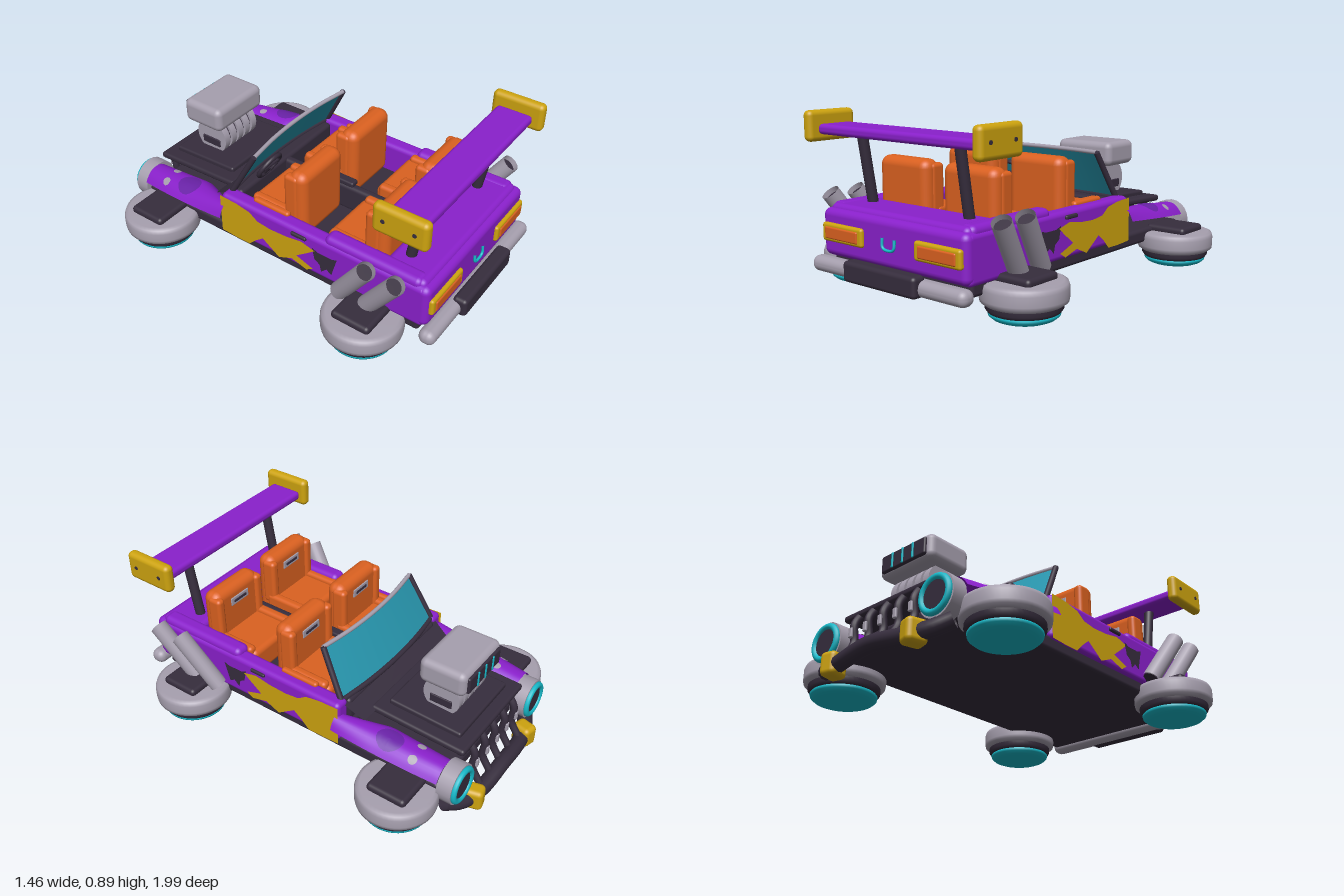
import * as THREE from 'three';
import { RoundedBoxGeometry } from 'three/addons/geometries/RoundedBoxGeometry.js';

const mat = (name, color, side = THREE.FrontSide) => {
  const m = new THREE.MeshStandardMaterial({ color, side });
  m.name = name;
  return m;
};

export function createModel() {
  const purple = mat('purple paint', 0x8a20cc);
  const violet = mat('violet patch', 0x6a22a8, THREE.DoubleSide);
  const yellow = mat('yellow', 0xcda30f, THREE.DoubleSide);
  const orange = mat('orange upholstery', 0xdb6120);
  const grey = mat('grey metal', 0xa69fae, THREE.DoubleSide);
  const dark = mat('dark plastic', 0x362d3d, THREE.DoubleSide);
  const cyan = mat('cyan glow', 0x16b9c9);
  const glass = mat('teal glass', 0x2898b0, THREE.DoubleSide);

  const car = new THREE.Group();
  car.name = 'hoverCar';
  const add = (name, geo, m, parent = car) => {
    const mesh = new THREE.Mesh(geo, m);
    mesh.name = name;
    parent.add(mesh);
    return mesh;
  };
  // Rounded box given by its extents on each axis
  const box = (name, m, x0, x1, y0, y1, z0, z1, r = 0.02, parent = car) => {
    const s = [x1 - x0, y1 - y0, z1 - z0];
    const mesh = add(name, new RoundedBoxGeometry(...s, 3, Math.min(r, Math.min(...s) * 0.49)), m, parent);
    mesh.position.set((x0 + x1) / 2, (y0 + y1) / 2, (z0 + z1) / 2);
    return mesh;
  };
  // The same box on both sides of the car
  const pair = (name, m, x0, x1, ...rest) => {
    box(name + 'Left', m, x0, x1, ...rest);
    box(name + 'Right', m, -x1, -x0, ...rest);
  };
  // Straight rod between two points
  const rod = (name, m, a, b, r, open = false) => {
    const p = new THREE.Vector3(...a), q = new THREE.Vector3(...b), d = q.clone().sub(p);
    const mesh = add(name, new THREE.CylinderGeometry(r, r, d.length(), 20, 1, open), m);
    mesh.position.copy(p).add(q).multiplyScalar(0.5);
    mesh.quaternion.setFromUnitVectors(new THREE.Vector3(0, 1, 0), d.normalize());
    return mesh;
  };
  const tube = (name, m, pts, r) =>
    add(name, new THREE.TubeGeometry(new THREE.CatmullRomCurve3(pts.map(p => new THREE.Vector3(...p))), 32, r, 12), m);
  const lathe = (name, m, pts, parent) =>
    add(name, new THREE.LatheGeometry(pts.map(p => new THREE.Vector2(...p)), 48), m, parent);
  // Grid surface from a function of u and v
  const sheet = (name, m, nu, nv, fn) => {
    const g = new THREE.PlaneGeometry(1, 1, nu, nv), p = g.attributes.position;
    for (let i = 0; i < p.count; i++) p.setXYZ(i, ...fn(p.getX(i) + 0.5, p.getY(i) + 0.5));
    g.computeVertexNormals();
    return add(name, g, m);
  };

  // Chassis and body shell
  box('chassis', dark, -0.45, 0.45, 0.16, 0.235, -0.84, 0.87, 0.02);
  box('floor', dark, -0.4, 0.4, 0.22, 0.28, -0.3, 0.68);
  pair('sideWall', purple, 0.385, 0.47, 0.215, 0.445, -0.29, 0.9, 0.025);
  pair('rearRail', purple, 0.37, 0.46, 0.38, 0.475, 0.34, 0.87, 0.03);
  box('rearBody', purple, -0.47, 0.47, 0.22, 0.45, 0.65, 0.92, 0.035);
  box('rearDeck', purple, -0.45, 0.45, 0.4, 0.47, 0.65, 0.89, 0.03);
  pair('doorHandle', dark, 0.46, 0.482, 0.405, 0.425, 0.16, 0.25, 0.008);
  box('console', dark, -0.025, 0.025, 0.27, 0.42, -0.28, 0.6);
  box('brakeLever', dark, -0.025, 0.025, 0.42, 0.45, 0.03, 0.21, 0.01);

  // Painted side splashes as thin plates
  const splash = new THREE.Shape([
    [0.3, 0.37], [0.22, 0.39], [0.13, 0.375], [0.03, 0.37], [-0.05, 0.38], [-0.1, 0.415], [-0.18, 0.43],
    [-0.29, 0.435], [-0.29, 0.21], [-0.2, 0.205], [-0.11, 0.205], [-0.065, 0.25], [-0.02, 0.285],
    [0.03, 0.25], [0.08, 0.215], [0.16, 0.25], [0.25, 0.225], [0.29, 0.25], [0.19, 0.285], [0.25, 0.33],
  ].map(p => new THREE.Vector2(...p)));
  const blot = new THREE.Shape([
    [0.43, 0.38], [0.4, 0.37], [0.32, 0.37], [0.285, 0.385], [0.3, 0.32], [0.33, 0.3], [0.34, 0.26],
    [0.37, 0.29], [0.4, 0.27], [0.41, 0.31],
  ].map(p => new THREE.Vector2(...p)));
  for (const s of [1, -1]) {
    for (const [name, shape, m] of [['sideSplash', splash, yellow], ['sideBlot', blot, dark]])
      add(name, new THREE.ShapeGeometry(shape).rotateY(-Math.PI / 2), m).position.x = s * 0.474;
  }

  // Front fenders: arched sheets sloping down to the lamps
  const fenderPoint = (s, u, v) => {
    const inner = 0.4 - 0.1 * Math.min(1, v * 2.4), outer = 0.51 - 0.04 * v * v;
    const arch = Math.pow(Math.abs(2 * u - 1), 2.5);
    return [s * (inner + (outer - inner) * u), 0.378 - 0.055 * v - 0.06 * arch, -0.27 - 0.57 * v];
  };
  const fenderPaint = mat('purple paint', 0x8a20cc, THREE.DoubleSide);
  purple.side = THREE.DoubleSide;
  fenderPaint.dispose();
  for (const s of [1, -1]) {
    sheet('fender', purple, 14, 20, (u, v) => fenderPoint(s, u, v));
    const patch = (name, m, u0, v0, ru, rv) => sheet(name, m, 16, 4, (a, r) => {
      const p = fenderPoint(s, u0 + ru * r * Math.cos(a * 2 * Math.PI), v0 + rv * r * Math.sin(a * 2 * Math.PI));
      p[1] += 0.005;
      return p;
    });
    patch('fenderPatch', violet, 0.6, 0.5, 0.3, 0.12);
    patch('fenderChip', grey, 0.35, 0.75, 0.1, 0.04);
    patch('fenderChip', grey, 0.8, 0.75, 0.1, 0.04);
  }

  // Hood, raised panel and cowl
  const hood = box('hood', dark, -0.3, 0.3, 0.325, 0.36, -0.88, -0.36, 0.015);
  hood.rotation.x = -0.04;
  const panel = box('hoodPanel', dark, -0.23, 0.23, 0.35, 0.385, -0.82, -0.42, 0.012);
  panel.rotation.x = -0.04;
  sheet('cowl', dark, 8, 3, (u, v) => [(u - 0.5) * (0.84 - 0.05 * v), 0.43 - 0.075 * v, -0.27 - 0.12 * v]);
  box('dashboard', dark, -0.39, 0.39, 0.3, 0.43, -0.3, -0.22, 0.02);

  // Engine with ribs and air scoop
  for (let i = 0; i < 5; i++) {
    const rib = add('engineRib', new THREE.CylinderGeometry(0.1, 0.1, 0.038, 28).rotateZ(Math.PI / 2), grey);
    rib.position.set(-0.11 + i * 0.055, 0.455, -0.65);
  }
  add('engineCore', new THREE.CylinderGeometry(0.085, 0.085, 0.25, 24).rotateZ(Math.PI / 2), dark).position.set(0, 0.455, -0.65);
  pair('engineSlot', dark, 0.125, 0.136, 0.405, 0.45, -0.71, -0.59, 0.01);
  box('airScoop', grey, -0.18, 0.18, 0.535, 0.67, -0.79, -0.54, 0.035);
  box('scoopIntake', dark, -0.15, 0.15, 0.555, 0.645, -0.802, -0.77, 0.01);
  for (const x of [-0.07, 0, 0.07]) box('intakeStripe', cyan, x - 0.006, x + 0.006, 0.56, 0.64, -0.807, -0.799, 0.003);

  // Curved windscreen: u across, v upward
  const screen = (u, v, lift = 0) => {
    const x = (u - 0.5) * 2;
    return [x * (0.41 - 0.035 * v), 0.43 + 0.245 * v, -0.3 + 0.13 * v + 0.035 * x * x + lift];
  };
  sheet('windscreen', glass, 20, 4, (u, v) => screen(u, v));
  const edge = (v) => [0, 0.25, 0.5, 0.75, 1].map(u => screen(u, v));
  tube('windscreenTopTrim', grey, edge(1), 0.011);
  tube('windscreenBottomTrim', dark, edge(0), 0.014);
  for (const u of [0, 1]) rod('windscreenPillar', dark, screen(u, 0), screen(u, 1), 0.015);

  // Steering wheel
  const wheel = add('steeringWheel', new THREE.TorusGeometry(0.075, 0.012, 10, 28), dark);
  wheel.position.set(-0.21, 0.51, -0.18);
  wheel.rotation.x = 0.5;
  rod('steeringColumn', dark, [-0.21, 0.51, -0.18], [-0.21, 0.42, -0.25], 0.018);
  rod('steeringSpoke', dark, [-0.28, 0.51, -0.18], [-0.14, 0.51, -0.18], 0.01);

  // Four seats
  for (const z of [0, 0.47]) for (const s of [1, -1]) {
    const seat = new THREE.Group();
    seat.name = 'seat';
    seat.position.set(s * 0.215, 0, z);
    car.add(seat);
    box('cushion', orange, -0.165, 0.165, 0.28, 0.43, -0.17, 0.14, 0.03, seat);
    const back = box('backrest', orange, -0.165, 0.165, 0.3, 0.68, 0.065, 0.17, 0.045, seat);
    back.scale.z = 1.02;
    for (const e of [1, -1]) {
      box('cushionBolster', orange, e * 0.15 - 0.025, e * 0.15 + 0.025, 0.3, 0.455, -0.15, 0.1, 0.02, seat);
      box('backBolster', orange, e * 0.145 - 0.025, e * 0.145 + 0.025, 0.4, 0.66, 0.048, 0.13, 0.02, seat);
    }
    box('headrestPlate', grey, -0.065, 0.065, 0.575, 0.62, 0.058, 0.067, 0.004, seat);
    box('headrestSlot', dark, -0.045, 0.045, 0.59, 0.605, 0.054, 0.06, 0.003, seat);
  }
  pair('armrest', orange, 0.385, 0.42, 0.41, 0.462, -0.12, 0.1, 0.015);

  // Hover pads in place of wheels
  for (const z of [0.62, -0.67]) for (const s of [1, -1]) {
    const pad = new THREE.Group();
    pad.name = 'hoverPad';
    pad.position.set(s * 0.53, 0, z);
    car.add(pad);
    lathe('padRim', grey, [[0, 0.11], [0.18, 0.11], [0.197, 0.122], [0.2, 0.14], [0.2, 0.185], [0.193, 0.205], [0.175, 0.213], [0, 0.213]], pad);
    lathe('padSkirt', dark, [[0, 0.075], [0.165, 0.075], [0.175, 0.09], [0.175, 0.115]], pad);
    lathe('padGlow', cyan, [[0, 0.022], [0.07, 0.026], [0.125, 0.037], [0.135, 0.045], [0.145, 0.045], [0.16, 0.058], [0.163, 0.07], [0.155, 0.08], [0, 0.08]], pad);
    box('padCover', dark, -0.12, 0.11, 0.2, 0.245, -0.105, 0.105, 0.02, pad);
  }

  // Twin side exhausts
  for (const s of [1, -1]) for (const z of [0, 0.155]) {
    const a = [s * 0.5, 0.23, 0.465 + z], b = [s * 0.555, 0.495, 0.645 + z];
    rod('exhaustPipe', grey, a, b, 0.046, true);
    rod('exhaustInner', dark, a, [s * 0.551, 0.475, 0.631 + z], 0.04);
  }

  // Rear spoiler
  box('spoilerBlade', purple, -0.52, 0.52, 0.79, 0.84, 0.7, 0.89, 0.02);
  pair('spoilerEndPlate', yellow, 0.513, 0.57, 0.755, 0.905, 0.665, 0.94, 0.025);
  for (const s of [1, -1]) {
    rod('spoilerPost', dark, [s * 0.315, 0.44, 0.73], [s * 0.315, 0.8, 0.79], 0.026);
    for (const z of [0.725, 0.88]) rod('endPlateBolt', dark, [s * 0.56, 0.832, z], [s * 0.573, 0.832, z], 0.01);
  }

  // Tail lamps, tow loop and rear bumper
  pair('tailLampFrame', yellow, 0.17, 0.45, 0.295, 0.385, 0.9, 0.938, 0.014);
  pair('tailLamp', orange, 0.197, 0.425, 0.31, 0.368, 0.92, 0.944, 0.008);
  tube('towLoop', cyan, [[-0.04, 0.365, 0.925], [-0.038, 0.325, 0.928], [-0.025, 0.313, 0.928], [0.025, 0.313, 0.928], [0.038, 0.325, 0.928], [0.04, 0.365, 0.925]], 0.007);
  box('rearBumper', grey, -0.5, 0.5, 0.145, 0.222, 0.89, 0.975, 0.036);
  box('bumperPad', dark, -0.235, 0.235, 0.142, 0.242, 0.925, 1.0, 0.02);

  // Head lamps
  for (const s of [1, -1]) {
    const c = (z) => [s * 0.365, 0.22, z];
    rod('headLampHousing', grey, c(-0.84), c(-0.915), 0.105);
    add('headLampRing', new THREE.TorusGeometry(0.081, 0.016, 12, 36), cyan).position.set(...c(-0.92));
    rod('headLampLens', dark, c(-0.9), c(-0.925), 0.076);
  }

  // Front bumper, clamps and grille
  tube('frontBumper', dark, [[-0.42, 0.11, -0.86], [-0.33, 0.075, -0.91], [-0.2, 0.07, -0.945], [0, 0.09, -0.955], [0.2, 0.07, -0.945], [0.33, 0.075, -0.91], [0.42, 0.11, -0.86]], 0.04);
  for (const s of [1, -1]) {
    const clamp = box('bumperClamp', yellow, s * 0.265 - 0.043, s * 0.265 + 0.043, 0.012, 0.13, -0.99, -0.885, 0.025);
    clamp.rotation.y = s * 0.25;
  }
  for (let i = 0; i < 5; i++) {
    const x = -0.2 + i * 0.1;
    tube('grilleBar', dark, [[x, 0.34, -0.85], [x, 0.27, -0.89], [x, 0.18, -0.885], [x, 0.1, -0.93]], 0.019);
    box('grilleChip', grey, x - 0.012, x + 0.012, 0.2, 0.25, -0.915, -0.9, 0.006);
  }
  return car;
}
